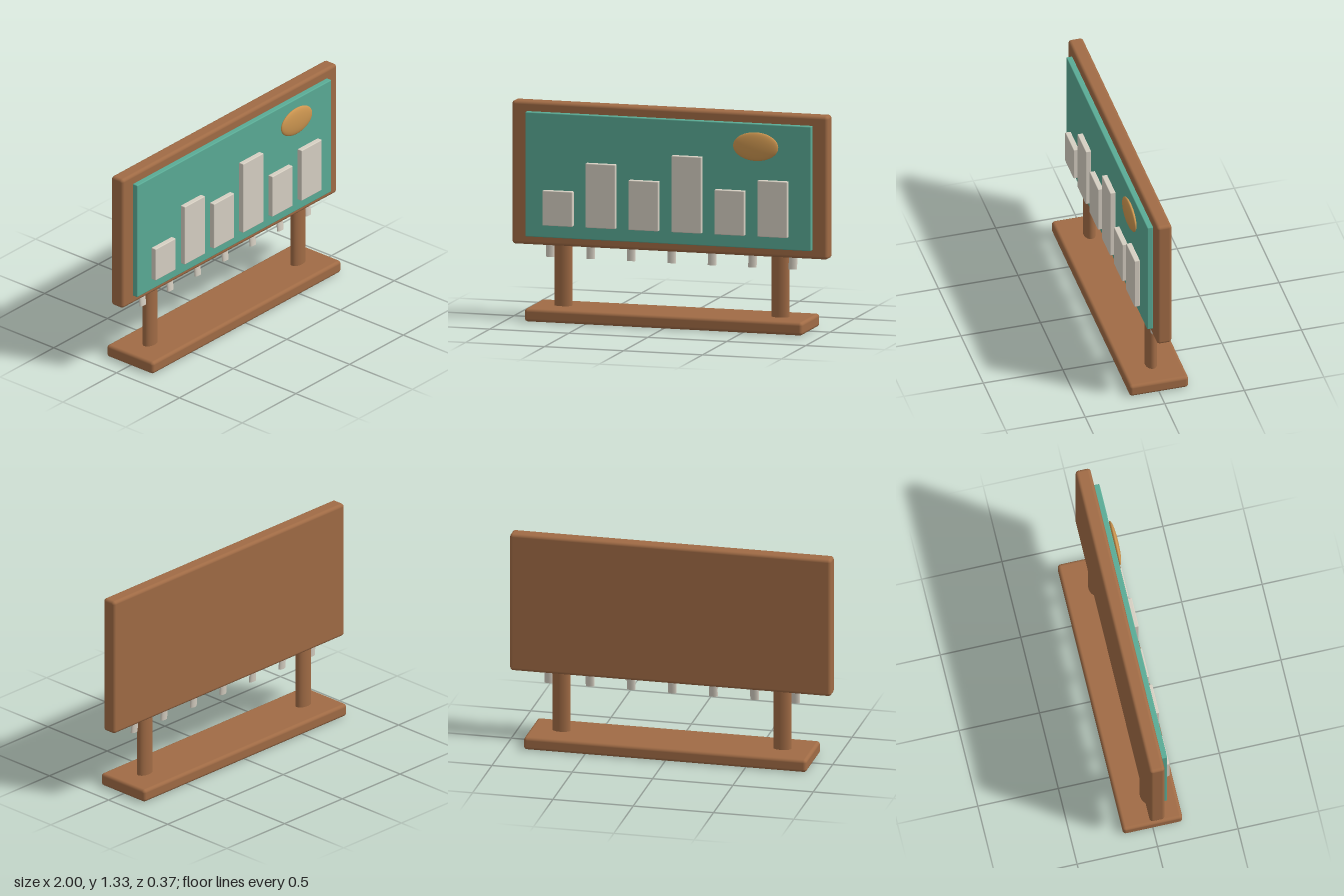
import * as THREE from 'three';
import { RoundedBoxGeometry } from 'three/addons/geometries/RoundedBoxGeometry.js';

const paint = (color) => new THREE.MeshStandardMaterial({ color });

export function createModel() {
  const model = new THREE.Group();
  const wood = paint(0xa06b45);
  const teal = paint(0x5aab95);
  const cream = paint(0xd6cfc2);
  const gold = paint(0xcd9650);

  const add = (name, geometry, material, x, y, z) => {
    const mesh = new THREE.Mesh(geometry, material);
    mesh.name = name;
    mesh.position.set(x, y, z);
    model.add(mesh);
    return mesh;
  };

  // Softened slab given by its width, bottom and top, back and front
  const slab = (name, material, x, w, y0, y1, z0, z1, radius) =>
    add(name, new RoundedBoxGeometry(w, y1 - y0, z1 - z0, 4, radius), material,
      x, (y0 + y1) / 2, (z0 + z1) / 2);

  // Stand and board
  slab('base', wood, 0, 1.76, 0, 0.08, -0.185, 0.185, 0.02);
  slab('frame', wood, 0, 2, 0.45, 1.33, -0.046, 0.047, 0.02);
  slab('panel', teal, 0, 1.81, 0.505, 1.27, 0.045, 0.083, 0.006);

  // Oval posts
  for (const side of [-1, 1]) {
    const post = add(side > 0 ? 'leftPost' : 'rightPost',
      new THREE.CylinderGeometry(0.056, 0.056, 0.44, 32), wood, side * 0.687, 0.27, 0);
    post.scale.z = 0.65;
  }

  // Row of cards in front of the panel
  [0.8, 0.98, 0.89, 1.055, 0.86, 0.93].forEach((top, i) =>
    slab('card' + (i + 1), cream, -0.688 + i * 0.272, 0.19, 0.585, top, 0.09, 0.125, 0.005));

  // Flattened oval ornament
  const oval = add('oval', new THREE.SphereGeometry(1, 40, 24), gold, 0.56, 1.133, 0.099);
  oval.scale.set(0.143, 0.088, 0.021);

  // Small pegs under the frame, leaning slightly forward at the tip
  for (let i = 0; i < 7; i++) {
    const peg = add('peg' + (i + 1), new THREE.CylinderGeometry(0.027, 0.027, 0.13, 20), cream,
      (i - 3) * 0.256, 0.44, 0.005);
    peg.scale.z = 0.48;
    peg.rotation.x = -0.08;
  }

  return model;
}
